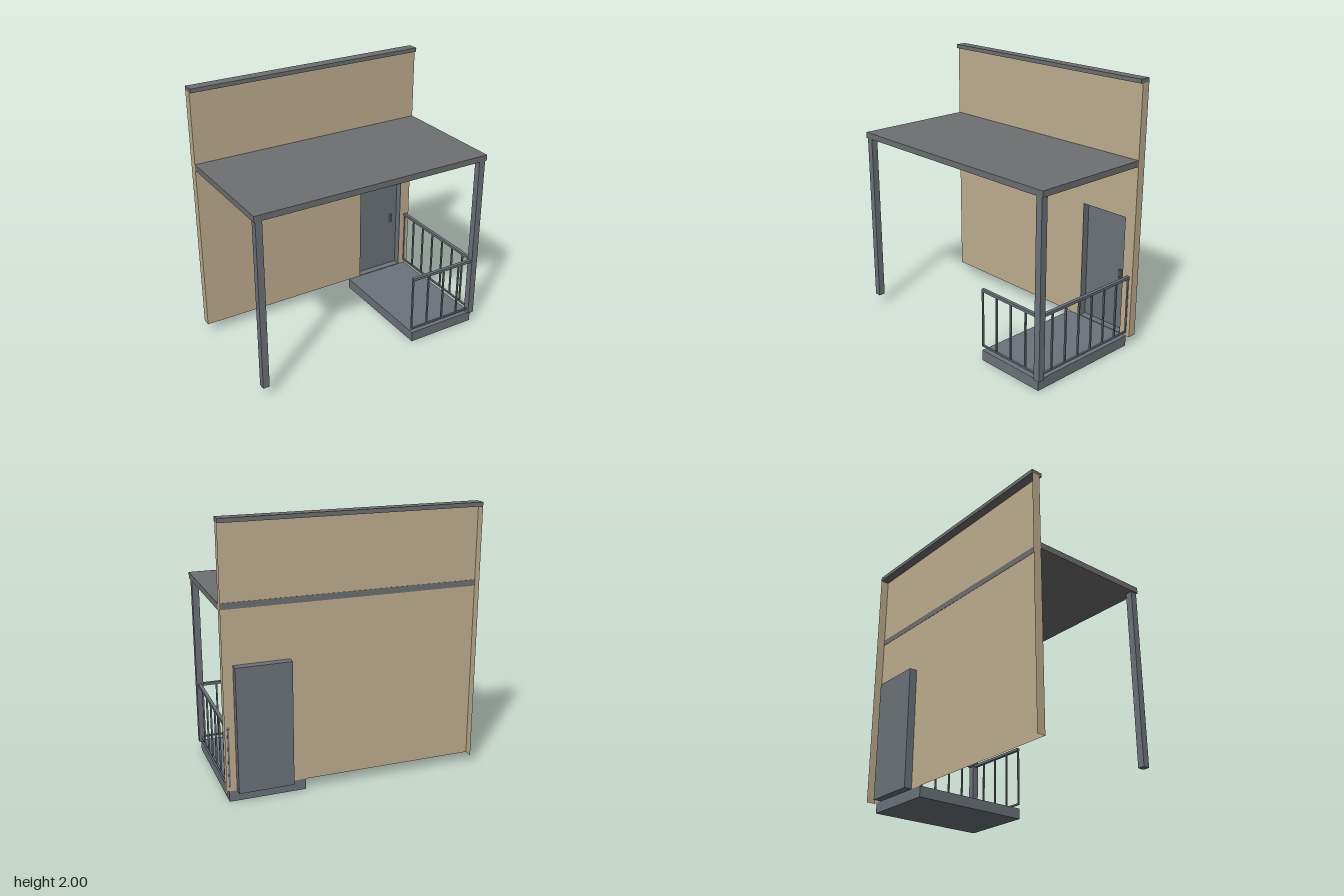
import * as THREE from 'three';

const mat = (color) => new THREE.MeshStandardMaterial({ color, flatShading: true });
const tan = mat(0xc0ae90);
tan.side = THREE.DoubleSide;
const steel = mat(0x6c737a);
const roofGrey = mat(0x6e6f70);

export function createModel() {
  const model = new THREE.Group();

  // Box given by its minimum and maximum on each axis
  function box(name, [x0, x1], [y0, y1], [z0, z1], material = steel, parent = model) {
    const mesh = new THREE.Mesh(new THREE.BoxGeometry(x1 - x0, y1 - y0, z1 - z0), material);
    mesh.position.set((x0 + x1) / 2, (y0 + y1) / 2, (z0 + z1) / 2);
    mesh.name = name;
    parent.add(mesh);
    return mesh;
  }
  const around = (c, size) => [c - size / 2, c + size / 2];

  const W = 0.94, base = 0.08, wallTop = 1.97, wallZ = -0.435, backZ = -0.5;
  const door = { x0: 0.455, x1: 0.855, top: 1.0 };

  // Thin wall sheet, notched for the doorway
  const outline = new THREE.Shape([
    [-W, base], [door.x0, base], [door.x0, door.top], [door.x1, door.top],
    [door.x1, base], [W, base], [W, wallTop], [-W, wallTop],
  ].map(([x, y]) => new THREE.Vector2(x, y)));
  const wall = new THREE.Mesh(new THREE.ShapeGeometry(outline), tan);
  wall.position.z = wallZ;
  wall.name = 'wall';
  model.add(wall);

  // Wall returns at both ends, folded towards the back
  for (const s of [-1, 1]) {
    const side = new THREE.Mesh(new THREE.PlaneGeometry(wallZ - backZ, wallTop - base), tan);
    side.rotation.y = s * Math.PI / 2;
    side.position.set(s * W, (base + wallTop) / 2, (wallZ + backZ) / 2);
    side.name = 'wallReturn';
    model.add(side);
  }
  box('wallCap', [-W, W], [wallTop, 2], [backZ, -0.415], roofGrey);

  // Canopy roof, its rear edge showing through the wall
  box('canopyRoof', [-W, W], [1.39, 1.435], [wallZ - 0.002, 0.5], roofGrey);
  for (const s of [-1, 1]) box('roofPost', around(s * 0.905, 0.05), [base, 1.39], [0.445, 0.495]);

  // Recessed door: back leaf and four reveals
  const doorGroup = new THREE.Group();
  doorGroup.name = 'door';
  model.add(doorGroup);
  const t = 0.004, dx = [door.x0, door.x1], dy = [base, door.top], dz = [-0.495, wallZ];
  box('doorLeaf', dx, dy, [dz[0], dz[0] + t], steel, doorGroup);
  box('doorReveal', [dx[0], dx[0] + t], dy, dz, steel, doorGroup);
  box('doorReveal', [dx[1] - t, dx[1]], dy, dz, steel, doorGroup);
  box('doorHead', dx, [dy[1] - t, dy[1]], dz, steel, doorGroup);
  box('doorSill', dx, [dy[0], dy[0] + t], dz, steel, doorGroup);
  box('doorHandle', around(0.79, 0.018), [0.495, 0.56], [-0.491, -0.47], steel, doorGroup);

  // Landing slab
  box('landing', [0.35, 0.91], [0, base], [wallZ, 0.48]);

  // Railing along the front and the outer side
  const railing = new THREE.Group();
  railing.name = 'railing';
  model.add(railing);
  const railX = 0.905, railZ = 0.47, bar = 0.012;
  const levels = [['topRail', [0.54, 0.56], 0.025], ['bottomRail', [0.108, 0.12], 0.014]];
  for (const [name, y, width] of levels) {
    box(name, [0.345, 0.88], y, around(railZ, width), steel, railing);
    box(name, around(railX, width), y, [wallZ, 0.445], steel, railing);
  }
  for (let i = 0; i < 4; i++)
    box('baluster', around(0.348 + i * 0.1415, bar), [0.115, 0.545], around(railZ, bar), steel, railing);
  for (let i = 0; i < 7; i++)
    box('baluster', around(railX, bar), [0.115, 0.545], around(0.35 - i * 0.1305, bar), steel, railing);

  return model;
}
